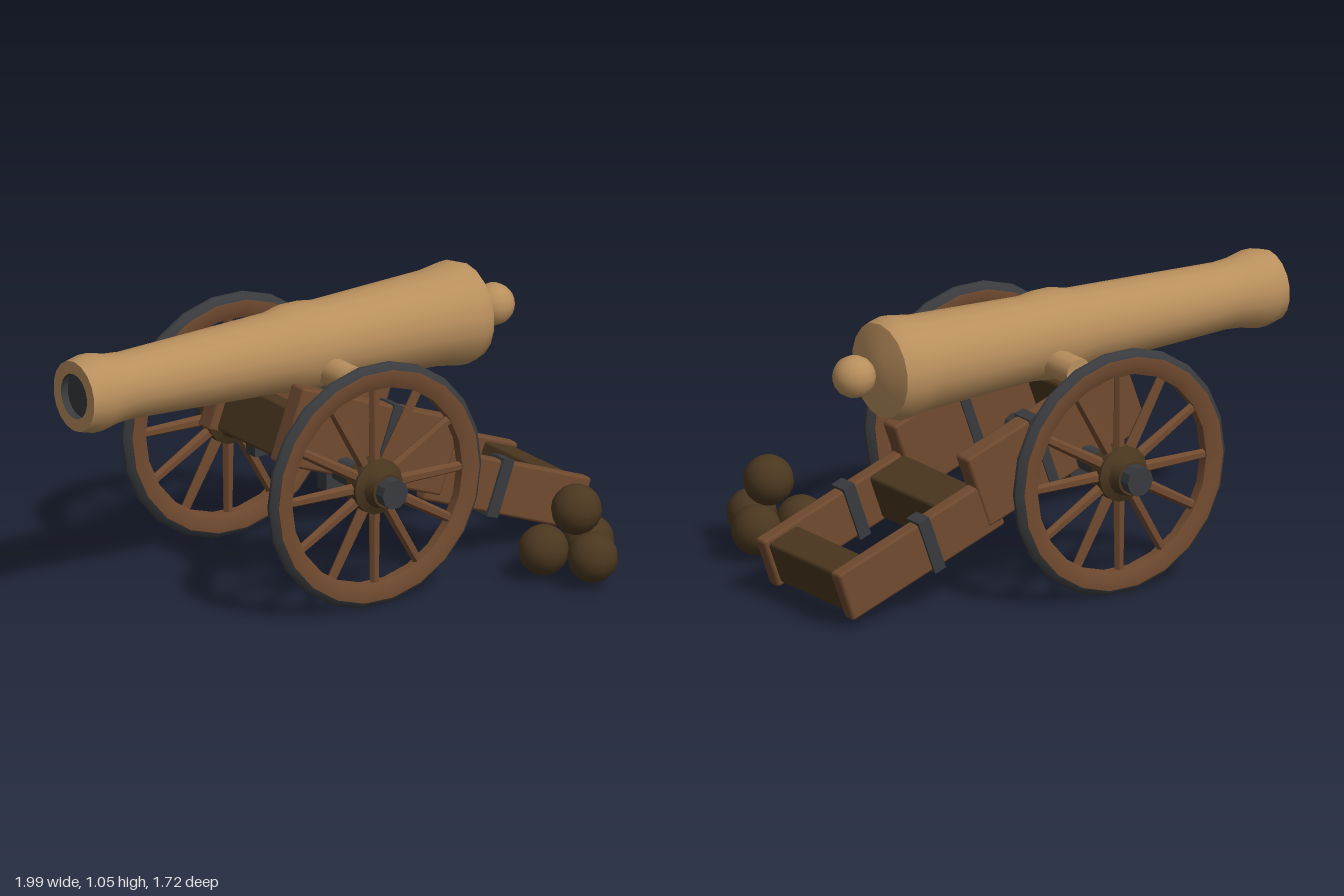
import * as THREE from 'three';
import { toCreasedNormals } from 'three/addons/utils/BufferGeometryUtils.js';
import { RoundedBoxGeometry } from 'three/addons/geometries/RoundedBoxGeometry.js';

const mat = (name, color) => {
  const m = new THREE.MeshStandardMaterial({ color });
  m.name = name;
  return m;
};

export function createModel() {
  const bronze = mat('bronze', 0xb98f5d);
  const wood = mat('wood', 0x704a2f);
  const darkWood = mat('dark wood', 0x4a371f);
  const iron = mat('iron', 0x383a3d);

  const model = new THREE.Group();
  model.name = 'fieldCannon';

  const add = (parent, name, geo, material, x = 0, y = 0, z = 0) => {
    const mesh = new THREE.Mesh(geo, material);
    mesh.name = name;
    mesh.position.set(x, y, z);
    parent.add(mesh);
    return mesh;
  };
  // Turned part from [radius, height] pairs, going up the outside
  const turned = (pairs, sides, crease = 0.6) => toCreasedNormals(
    new THREE.LatheGeometry(pairs.map(([r, h]) => new THREE.Vector2(r, h)), sides), crease);
  const plank = (w, h, d) => new RoundedBoxGeometry(w, h, d, 1, 0.012);

  // Gun: local +z points to the muzzle, x is the axle direction
  const AXLE_Y = 0.467;
  const gun = new THREE.Group();
  gun.name = 'gun';
  gun.position.set(-0.175, 0, 0.08);
  gun.rotation.y = -0.816;
  model.add(gun);

  // Barrel
  const barrel = new THREE.Group();
  barrel.name = 'barrel';
  barrel.position.y = 0.865;
  barrel.rotation.x = Math.PI / 2;
  gun.add(barrel);
  add(barrel, 'tube', turned([
    [0, -0.765], [0.09, -0.755], [0.178, -0.73], [0.194, -0.685], [0.192, -0.65],
    [0.178, -0.56], [0.158, -0.08], [0.166, -0.02], [0.166, 0.06], [0.15, 0.13],
    [0.125, 0.78], [0.13, 0.84], [0.145, 0.91], [0.145, 0.95], [0.133, 1.0],
    [0.085, 1.0],
  ], 18), bronze);
  add(barrel, 'bore', turned([[0.085, 1.0], [0.085, 0.97], [0, 0.97]], 18), iron);
  add(barrel, 'knob', new THREE.SphereGeometry(0.08, 14, 10), bronze, 0, -0.845, 0);
  const trunnion = add(gun, 'trunnions',
    new THREE.CylinderGeometry(0.055, 0.055, 0.56, 12), bronze, 0, 0.8, -0.04);
  trunnion.rotation.z = Math.PI / 2;

  // Axle with wider ends
  const axle = add(gun, 'axle', turned([
    [0, -0.612], [0.056, -0.612], [0.056, -0.53], [0.048, -0.52],
    [0.048, 0.52], [0.056, 0.53], [0.056, 0.612], [0, 0.612],
  ], 10), iron, 0, AXLE_Y, 0);
  axle.rotation.z = -Math.PI / 2;

  // Wheels
  const felloeGeo = turned([
    [0.375, -0.02], [0.41, -0.034], [0.442, -0.032], [0.442, 0.032],
    [0.41, 0.034], [0.375, 0.02], [0.375, -0.02],
  ], 22);
  const tyreGeo = turned([
    [0.436, -0.03], [0.455, -0.022], [0.467, -0.006], [0.467, 0.006],
    [0.455, 0.022], [0.436, 0.03],
  ], 22);
  const hubGeo = turned([
    [0, -0.09], [0.065, -0.09], [0.075, -0.045], [0.105, -0.03], [0.105, 0.03],
    [0.075, 0.045], [0.065, 0.09], [0, 0.09],
  ], 14);
  const spokeGeo = toCreasedNormals(new THREE.CylinderGeometry(0.018, 0.023, 0.32, 6), 0.6);
  spokeGeo.translate(0, 0.235, 0);
  for (const side of [-1, 1]) {
    const wheel = new THREE.Group();
    wheel.name = side > 0 ? 'leftWheel' : 'rightWheel';
    wheel.position.set(side * 0.475, AXLE_Y, 0);
    gun.add(wheel);
    [['felloe', felloeGeo, wood], ['tyre', tyreGeo, iron], ['hub', hubGeo, darkWood]]
      .forEach(([name, geo, m]) => { add(wheel, name, geo, m).rotation.z = -Math.PI / 2; });
    for (let i = 0; i < 12; i++) {
      add(wheel, 'spoke', spokeGeo, wood).rotation.x = i * Math.PI / 6;
    }
  }

  // Carriage, sloping down to the trail: z runs along the boards
  const carriage = new THREE.Group();
  carriage.name = 'carriage';
  carriage.rotation.x = -20 * Math.PI / 180;
  gun.add(carriage);
  for (const side of [-1, 1]) {
    add(carriage, 'cheek', plank(0.082, 0.295, 0.75), wood, side * 0.232, 0.558, 0.065);
    add(carriage, 'trail', plank(0.06, 0.2, 0.72), wood, side * 0.238, 0.483, -0.6);
    add(carriage, 'trailStrap', new THREE.BoxGeometry(0.08, 0.22, 0.05), iron,
      side * 0.238, 0.483, -0.56);
    add(carriage, 'cheekStrap', new THREE.BoxGeometry(0.094, 0.307, 0.04), iron,
      side * 0.232, 0.558, 0.0);
    add(gun, 'axleBracket', new THREE.BoxGeometry(0.06, 0.13, 0.13), iron,
      side * 0.232, AXLE_Y - 0.01, 0);
  }

  // Cross pieces between the boards
  add(carriage, 'frontTransom', plank(0.4, 0.19, 0.14), darkWood, 0, 0.515, 0.34);
  add(carriage, 'middleTransom', plank(0.43, 0.18, 0.17), darkWood, 0, 0.485, -0.38);
  add(carriage, 'rearTransom', plank(0.43, 0.17, 0.14), darkWood, 0, 0.483, -0.875);

  // Pile of shot
  const pile = new THREE.Group();
  pile.name = 'shotPile';
  model.add(pile);
  const ballGeo = new THREE.SphereGeometry(0.094, 14, 10);
  [[0.715, 0.12, 0.05], [0.86, 0.12, -0.085], [0.905, 0.12, 0.105], [0.833, 0.275, 0.03]]
    .forEach(([x, y, z]) => add(pile, 'shot', ballGeo, darkWood, x, y, z));

  return model;
}
